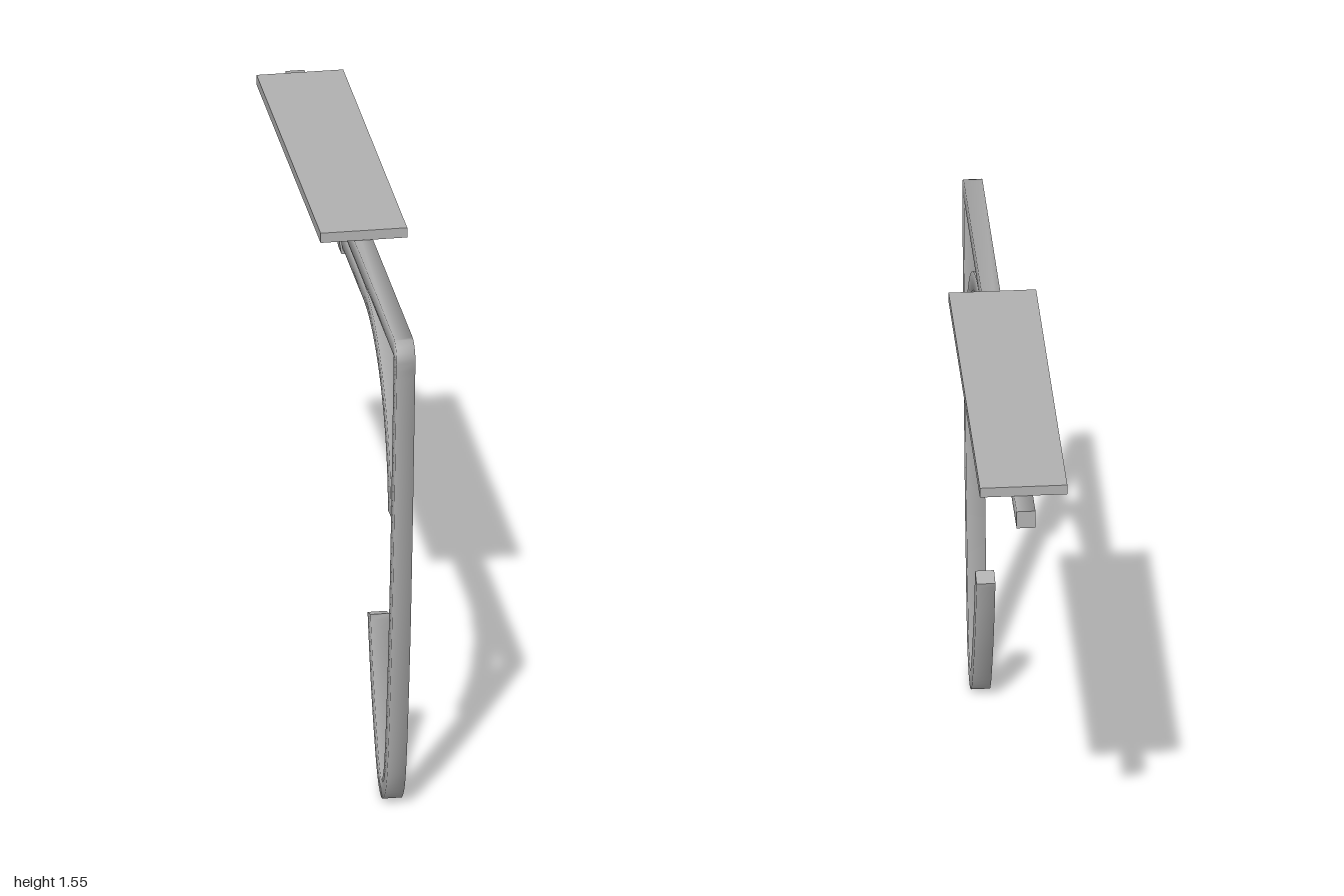
import * as THREE from 'three';

const steel = new THREE.MeshStandardMaterial({ color: 0xb0b0b0 });
steel.name = 'grey steel';

// Sweeps a square bar along a path of Vector2(z, y) in the middle plane.
function squareBar(name, path, half = 0.027) {
  const pos = [], index = [];
  const corners = [[1, 1], [-1, 1], [-1, -1], [1, -1]];
  const last = path.length - 1;
  const addRing = (i) => {
    const p = path[i];
    const t = new THREE.Vector2();
    if (i > 0) t.add(p.clone().sub(path[i - 1]).normalize());
    if (i < last) t.add(path[i + 1].clone().sub(p).normalize());
    t.normalize();
    for (const [sx, sn] of corners) {
      pos.push(sx * half, p.y + sn * half * t.x, p.x - sn * half * t.y);
    }
  };
  for (let i = 0; i <= last; i++) addRing(i);
  for (let i = 0; i < last; i++) {
    for (let j = 0; j < 4; j++) {
      const a = i * 4 + j, b = i * 4 + (j + 1) % 4;
      index.push(a, b, b + 4, a, b + 4, a + 4);
    }
  }
  // End caps have their own corners so they stay crisp
  const s = pos.length / 3;
  addRing(0);
  addRing(last);
  index.push(s, s + 2, s + 1, s, s + 3, s + 2);
  index.push(s + 4, s + 5, s + 6, s + 4, s + 6, s + 7);
  const geo = new THREE.BufferGeometry();
  geo.setAttribute('position', new THREE.Float32BufferAttribute(pos, 3));
  geo.setIndex(index);
  geo.computeVertexNormals();
  const mesh = new THREE.Mesh(geo, steel);
  mesh.name = name;
  return mesh;
}

const toPoints = (list) => list.map(([z, y]) => new THREE.Vector2(z, y));

export function createModel() {
  const group = new THREE.Group();
  group.name = 'hook';

  // Top rail, tight elbow, long leg and upturned hook in one bar
  const elbow = [];
  for (let i = 0; i <= 6; i++) {
    const a = Math.PI / 2 - (i / 6) * (Math.PI / 2 + 0.08);
    elbow.push([0.943 + 0.028 * Math.cos(a), 1.466 + 0.028 * Math.sin(a)]);
  }
  const leg = new THREE.SplineCurve(toPoints([
    [0.968, 1.44], [0.948, 1.22], [0.922, 0.94], [0.887, 0.62], [0.85, 0.374],
    [0.81, 0.165], [0.774, 0.07], [0.72, 0.029], [0.66, 0.07],
    [0.59, 0.205], [0.54, 0.335], [0.499, 0.478],
  ])).getPoints(66);
  group.add(squareBar('mainBar', [...toPoints([[-1, 1.494], ...elbow]), ...leg]));

  // Curved brace under the rail
  const brace = [[-0.37, 1.436]];
  for (let i = 0; i <= 24; i++) {
    const a = (i / 24) * Math.PI / 2;
    brace.push([0.4 + 0.466 * Math.sin(a), 0.944 + 0.492 * Math.cos(a)]);
  }
  group.add(squareBar('brace', toPoints(brace)));

  // Mounting plate
  const plate = new THREE.Mesh(new THREE.BoxGeometry(0.25, 0.03, 1.152), steel);
  plate.name = 'mountingPlate';
  plate.position.set(0, 1.538, -0.336);
  group.add(plate);

  // Two straps with flared flanges holding the rail and brace
  const outer = [[0.033, 1.397], [0.047, 1.485], [0.053, 1.502], [0.064, 1.51], [0.088, 1.51]];
  const inner = [[0.088, 1.519], [0.06, 1.519], [0.047, 1.51], [0.041, 1.49], [0.028, 1.407]];
  const half = [...outer, ...inner];
  const mirrored = half.map(([x, y]) => [-x, y]).reverse();
  const shape = new THREE.Shape(toPoints([...half, ...mirrored]));
  const strapGeo = new THREE.ExtrudeGeometry(shape, { depth: 0.06, bevelEnabled: false });
  [-0.02, -0.339].forEach((z, i) => {
    const strap = new THREE.Mesh(strapGeo, steel);
    strap.name = i ? 'rearStrap' : 'frontStrap';
    strap.position.z = z;
    group.add(strap);
  });
  return group;
}
